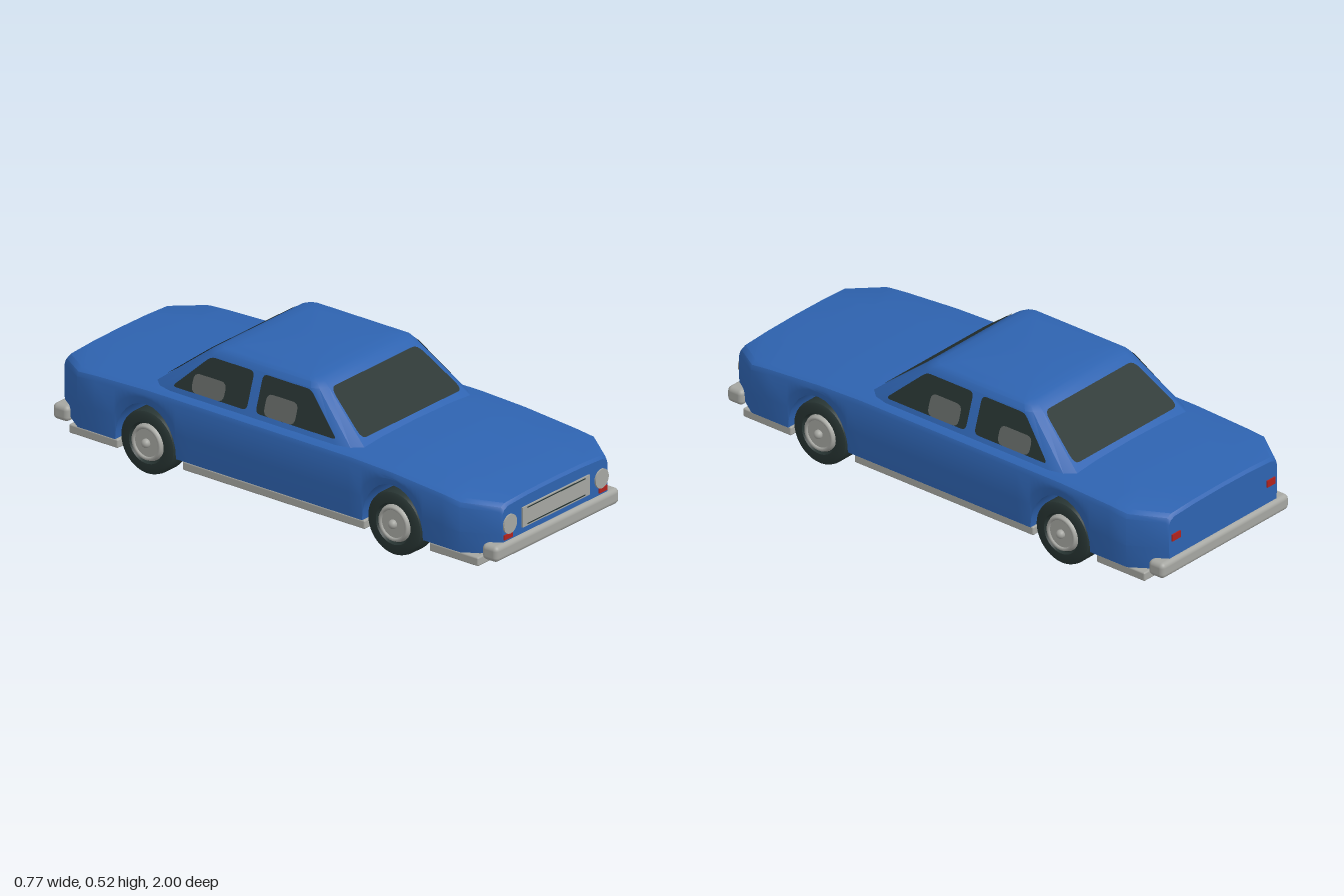
import * as THREE from 'three';
import { toCreasedNormals } from 'three/addons/utils/BufferGeometryUtils.js';
import { RoundedBoxGeometry } from 'three/addons/geometries/RoundedBoxGeometry.js';

const material = (name, color, side = THREE.FrontSide) => {
  const m = new THREE.MeshStandardMaterial({ color, side });
  m.name = name;
  return m;
};

// Skin over a row of equal-length rings, closed at both ends.
function loft(rings, crease = 0.6) {
  const n = rings[0].length, pos = rings.flat(2), index = [];
  for (let i = 0; i < rings.length - 1; i++)
    for (let j = 0; j < n; j++) {
      const a = i * n + j, b = i * n + (j + 1) % n;
      index.push(a, a + n, b, b, a + n, b + n);
    }
  [0, rings.length - 1].forEach((r, end) => {
    const c = pos.length / 3;
    for (let k = 0; k < 3; k++) pos.push(rings[r].reduce((s, p) => s + p[k], 0) / n);
    for (let j = 0; j < n; j++) {
      const a = r * n + j, b = r * n + (j + 1) % n;
      index.push(c, end ? b : a, end ? a : b);
    }
  });
  const g = new THREE.BufferGeometry();
  g.setAttribute('position', new THREE.Float32BufferAttribute(pos, 3));
  g.setIndex(index);
  return toCreasedNormals(g, crease);
}

// Flat outline with rounded corners, laid onto a surface by a mapping rule.
function panel(points, r, map, flip = false) {
  const p = points.map(([x, y]) => new THREE.Vector2(x, y)), n = p.length, s = new THREE.Shape();
  p.forEach((c, i) => {
    const toward = q => c.clone().add(q.clone().sub(c).setLength(r));
    const a = toward(p[(i + n - 1) % n]), b = toward(p[(i + 1) % n]);
    if (i) s.lineTo(a.x, a.y); else s.moveTo(a.x, a.y);
    s.quadraticCurveTo(c.x, c.y, b.x, b.y);
  });
  const g = new THREE.ShapeGeometry(s, 4), v = g.attributes.position;
  for (let i = 0; i < v.count; i++) v.setXYZ(i, ...map(v.getX(i), v.getY(i)));
  if (flip) g.setIndex([...g.index.array].reverse());
  g.computeVertexNormals();
  return g;
}

// Height along the bonnet, waist and boot
const TOP = [[-0.985, 0.302], [-0.975, 0.312], [-0.8, 0.325], [-0.55, 0.334], [0.36, 0.334],
  [0.55, 0.327], [0.8, 0.307], [0.975, 0.285], [0.985, 0.275]];
function topAt(z) {
  const i = Math.max(1, TOP.findIndex(p => p[0] >= z - 1e-6));
  const [a, b] = [TOP[i - 1], TOP[i]];
  return THREE.MathUtils.mapLinear(z, a[0], b[0], a[1], b[1]);
}
const AXLES = [0.555, -0.555];

function bodyGeometry() {
  const stations = [0.985, 0.975, 0.86, 0.78, 0.36, 0, -0.36, -0.78, -0.86, -0.975, -0.985].map(z => [z, 0.098]);
  for (const c of AXLES)
    for (let i = 0; i <= 14; i++) {
      const t = Math.PI * i / 14;
      stations.push([c + 0.137 * Math.cos(t), 0.098 + 0.172 * Math.sin(t)]);
    }
  stations.sort((a, b) => b[0] - a[0]);
  return loft(stations.map(([z, yb]) => {
    const w = 0.375 - 0.68 * Math.max(0, Math.abs(z) - 0.86), yt = topAt(z);
    const half = [[w - 0.005, yb], [w, yb + (yt - yb) * 0.4], [w, yt - 0.028], [w - 0.008, yt - 0.012],
      [w - 0.03, yt - 0.002], [w * 0.5, yt + 0.004]];
    return [...half, [0, yt + 0.006], ...half.slice().reverse().map(([x, y]) => [-x, y])]
      .map(([x, y]) => [x, y, z]);
  }));
}

// Cabin slopes between waist and roof edge
const lerpY = (y, a, b) => a + (b - a) * (y - 0.33) / 0.16;
const frontAt = y => lerpY(y, 0.37, 0.165);
const rearAt = y => lerpY(y, -0.57, -0.365);
const sideAt = y => lerpY(y, 0.338, 0.285);

function cabinGeometry() {
  const ring = (y, f, r, w, cx, cz) => [[0, f], [w - cx, f], [w - cx * 0.3, f - cz * 0.4], [w, f - cz],
    [w, r + cz], [w - cx * 0.3, r + cz * 0.4], [w - cx, r], [0, r],
    [-w + cx, r], [-w + cx * 0.3, r + cz * 0.4], [-w, r + cz], [-w, f - cz],
    [-w + cx * 0.3, f - cz * 0.4], [-w + cx, f]].map(([x, z]) => [x, y, z]);
  return loft([
    ring(0.522, 0.07, -0.27, 0.2, 0.03, 0.03),
    ring(0.516, 0.118, -0.318, 0.255, 0.03, 0.03),
    ring(0.507, 0.142, -0.342, 0.271, 0.035, 0.035),
    ring(0.49, 0.165, -0.365, 0.285, 0.043, 0.045),
    ring(0.33, 0.37, -0.57, 0.338, 0.045, 0.095),
  ], 0.5);
}

export function createModel() {
  const car = new THREE.Group();
  car.name = 'car';
  const blue = material('bodyBlue', 0x2e63b0);
  const dark = material('tyreDark', 0x273432);
  const glass = material('glassDark', 0x273331, THREE.DoubleSide);
  const seat = material('seatGrey', 0x626664, THREE.DoubleSide);
  const metal = material('metalGrey', 0xa5a6a1);
  const red = material('lampRed', 0xb0221c);
  const add = (name, geo, mat, x = 0, y = 0, z = 0, parent = car) => {
    const m = new THREE.Mesh(geo, mat);
    m.name = name;
    m.position.set(x, y, z);
    parent.add(m);
    return m;
  };
  const box = (name, mat, w, h, d, x, y, z) => add(name, new THREE.BoxGeometry(w, h, d), mat, x, y, z);

  add('body', bodyGeometry(), blue);
  add('cabin', cabinGeometry(), blue);

  // Windscreen and rear window
  const screen = [[-0.278, 0.355], [0.278, 0.355], [0.238, 0.49], [-0.238, 0.49]];
  add('windscreen', panel(screen, 0.025, (x, y) => [x, y, frontAt(y) + 0.005]), glass);
  add('rearWindow', panel(screen, 0.025, (x, y) => [x, y, rearAt(y) - 0.005], true), glass);

  // Side windows with the seats showing in them
  const frontWindow = [[0.275, 0.352], [-0.09, 0.352], [-0.09, 0.487], [0.125, 0.487]];
  const backWindow = [[-0.13, 0.352], [-0.465, 0.352], [-0.325, 0.487], [-0.13, 0.487]];
  const seatShape = (a, b, top) => [[a, 0.353], [b, 0.353], [b, top], [a, top]];
  for (const s of [1, -1]) {
    const onSide = lift => (z, y) => [s * (sideAt(y) + lift), y, z];
    add('frontSideWindow', panel(frontWindow, 0.02, onSide(0.004), s > 0), glass);
    add('rearSideWindow', panel(backWindow, 0.02, onSide(0.004), s > 0), glass);
    add('frontSeat', panel(seatShape(-0.055, 0.085, 0.43), 0.025, onSide(0.006), s > 0), seat);
    add('rearSeat', panel(seatShape(-0.38, -0.235, 0.42), 0.025, onSide(0.006), s > 0), seat);
  }

  // Grille, lamps and bumpers
  box('grille', metal, 0.37, 0.076, 0.008, 0, 0.203, 0.987);
  for (const y of [0.235, 0.173]) box('grilleLine', dark, 0.32, 0.004, 0.003, 0, y, 0.991);
  for (const s of [1, -1]) {
    const lamp = add('headlight', new THREE.CylinderGeometry(0.036, 0.036, 0.009, 32), metal, s * 0.253, 0.203, 0.987);
    lamp.rotation.x = Math.PI / 2;
    box('frontIndicator', red, 0.045, 0.018, 0.008, s * 0.262, 0.159, 0.986);
    box('tailLamp', red, 0.045, 0.026, 0.008, s * 0.255, 0.22, -0.986);
    add('bumper', new RoundedBoxGeometry(0.684, 0.06, 0.07, 4, 0.018), metal, 0, 0.112, s * 0.965);
  }

  // Floor, sills and underside knobs
  box('floor', metal, 0.49, 0.03, 1.84, 0, 0.07, 0);
  for (const s of [1, -1]) {
    for (const [a, b] of [[0.92, 0.7], [0.41, -0.41], [-0.7, -0.92]])
      add('sill', new RoundedBoxGeometry(0.098, 0.034, a - b, 2, 0.006), metal, s * 0.297, 0.068, (a + b) / 2);
    add('floorKnob', new THREE.SphereGeometry(0.027, 16, 12), metal, 0, 0.048, s * 0.685);
  }
  for (const [a, b] of [[0.9, 0.7], [0.41, -0.41], [-0.7, -0.9]])
    box('underframe', dark, 0.62, 0.02, a - b, 0, 0.09, (a + b) / 2);

  // Wheels
  const profile = [[0, -0.048], [0.108, -0.048], [0.117, -0.042], [0.12, -0.03], [0.12, 0.03], [0.117, 0.042],
    [0.108, 0.048], [0.078, 0.048], [0.072, 0.036], [0, 0.036]].map(([x, y]) => new THREE.Vector2(x, y));
  const tyre = toCreasedNormals(new THREE.LatheGeometry(profile, 40), 0.7);
  const disc = new THREE.CylinderGeometry(0.066, 0.07, 0.01, 32);
  const ring = new THREE.TorusGeometry(0.059, 0.007, 8, 32).rotateX(Math.PI / 2);
  const knob = new THREE.SphereGeometry(0.017, 16, 12);
  for (const s of [1, -1])
    for (const z of AXLES) {
      const wheel = new THREE.Group();
      wheel.name = 'wheel';
      wheel.position.set(s * 0.318, 0.12, z);
      wheel.rotation.z = -s * Math.PI / 2;
      add('tyre', tyre, dark, 0, 0, 0, wheel);
      add('hub', disc, metal, 0, 0.041, 0, wheel);
      add('hubRing', ring, metal, 0, 0.046, 0, wheel);
      add('hubKnob', knob, metal, 0, 0.05, 0, wheel);
      car.add(wheel);
    }
  return car;
}
